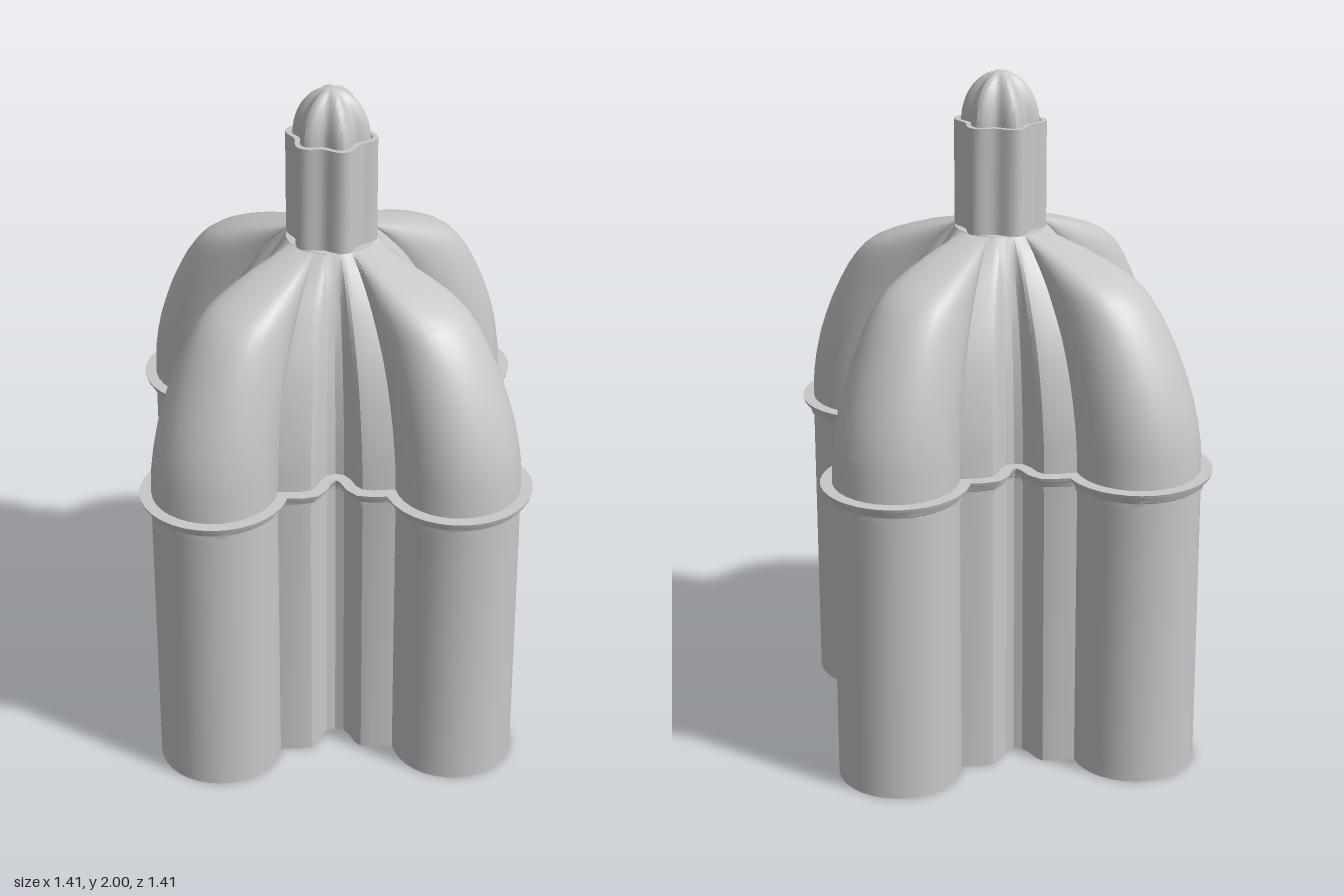
import * as THREE from 'three';
import { toCreasedNormals } from 'three/addons/utils/BufferGeometryUtils.js';

const stone = new THREE.MeshStandardMaterial({ color: 0xc8c8c8, side: THREE.DoubleSide });
stone.name = 'pale grey stone';

// Skin a stack of closed rings, each a list of [x, y, z]
function loft(name, rings) {
  const n = rings[0].length, index = [];
  for (let i = 0; i < rings.length - 1; i++) {
    for (let j = 0; j < n; j++) {
      const k = (j + 1) % n;
      const a = i * n + j, b = i * n + k, c = a + n, d = b + n;
      index.push(a, c, b, b, c, d);
    }
  }
  const geo = new THREE.BufferGeometry();
  geo.setAttribute('position', new THREE.Float32BufferAttribute(rings.flat(2), 3));
  geo.setIndex(index);
  const mesh = new THREE.Mesh(toCreasedNormals(geo, 0.45), stone);
  mesh.name = name;
  return mesh;
}

// Cross-shaped plan: four large round lobes with small bumps in each corner
function makePlan() {
  const half = [];
  for (let i = 0; i <= 12; i++) {
    const a = (i / 12) * THREE.MathUtils.degToRad(128);
    half.push([0.49 + 0.18 * Math.cos(a), 0.18 * Math.sin(a)]);
  }
  half.push([0.335, 0.19], [0.31, 0.206], [0.285, 0.205], [0.25, 0.19], [0.22, 0.185], [0.197, 0.197]);
  const mirrored = half.slice(1, -1).reverse().map(([x, z]) => [z, x]);
  const quarter = [...half, ...mirrored];
  const plan = [];
  for (let q = 0; q < 4; q++) {
    const c = [1, 0, -1, 0][q], s = [0, 1, 0, -1][q];
    quarter.forEach(([x, z]) => plan.push([x * c - z * s, x * s + z * c]));
  }
  return plan;
}

// Mitred outline moved outward by d, at height y
function offsetRing(plan, d, y) {
  const n = plan.length;
  const normal = (p, q) => {
    const dx = q[0] - p[0], dz = q[1] - p[1], l = Math.hypot(dx, dz);
    return [dz / l, -dx / l];
  };
  return plan.map((p, i) => {
    const a = normal(plan[(i + n - 1) % n], p), b = normal(p, plan[(i + 1) % n]);
    const m = d / (1 + a[0] * b[0] + a[1] * b[1]);
    return [p[0] + (a[0] + b[0]) * m, y, p[1] + (a[1] + b[1]) * m];
  });
}

// Six-lobed ring, lobes pointing along z
function starRing(radius, depth, y) {
  return Array.from({ length: 72 }, (_, i) => {
    const a = (i / 72) * Math.PI * 2;
    const r = radius + depth * Math.cos(6 * (a - Math.PI / 2));
    return [r * Math.cos(a), y, r * Math.sin(a)];
  });
}

export function createModel() {
  const group = new THREE.Group();
  group.name = 'domedPavilion';
  const plan = makePlan();

  // Hollow walls, open underneath
  group.add(loft('walls', [[-0.022, 0.9], [-0.022, 0], [0, 0], [0, 0.9]]
    .map(([d, y]) => offsetRing(plan, d, y))));

  // Stepped cornice
  group.add(loft('cornice', [
    [0, 0.87], [0.008, 0.872], [0.008, 0.885], [0.014, 0.889], [0.02, 0.905],
    [0.03, 0.91], [0.033, 0.92], [-0.005, 0.921],
  ].map(([d, y]) => offsetRing(plan, d, y))));

  // Ribbed dome: height, inward travel of the large lobes, inward travel of the corners
  const domeRows = [
    [0.9, 0, 0], [1.0, 0.008, 0.02], [1.06, 0.027, 0.05], [1.12, 0.055, 0.095],
    [1.18, 0.095, 0.15], [1.24, 0.142, 0.22], [1.3, 0.2, 0.31], [1.35, 0.255, 0.41],
    [1.39, 0.31, 0.5], [1.42, 0.362, 0.57], [1.445, 0.425, 0.64], [1.465, 0.5, 0.7],
    [1.485, 0.592, 0.765], [1.51, 0.72, 0.85], [1.55, 1, 1],
  ];
  group.add(loft('dome', domeRows.map(([y, lobe, corner]) => plan.map(([x, z]) => {
    const r = Math.hypot(x, z);
    const w = THREE.MathUtils.smoothstep(r, 0.4, 0.63);
    const t = THREE.MathUtils.lerp(corner, lobe, w);
    const k = THREE.MathUtils.lerp(1, 0.13 / r, t);
    return [x * k, y, z * k];
  }))));

  // Disc closing the crown of the dome
  const crown = new THREE.Mesh(new THREE.CylinderGeometry(0.13, 0.13, 0.006, 48), stone);
  crown.name = 'domeCrown';
  crown.position.y = 1.548;
  group.add(crown);

  // Scalloped lantern wall
  group.add(loft('lanternWall', [
    starRing(0.104, 0.012, 1.55), starRing(0.12, 0.012, 1.55),
    starRing(0.12, 0.012, 1.86), starRing(0.104, 0.012, 1.86), starRing(0.104, 0.012, 1.55),
  ]));

  // Fluted cap on top of the lantern
  const cap = [starRing(0.098, 0.014, 1.55)];
  for (let i = 0; i <= 12; i++) {
    const a = (i / 12) * Math.PI / 2, c = Math.max(Math.cos(a), 0.001);
    cap.push(starRing(0.098 * c, 0.014 * c, 1.85 + 0.15 * Math.sin(a)));
  }
  group.add(loft('lanternCap', cap));

  return group;
}
